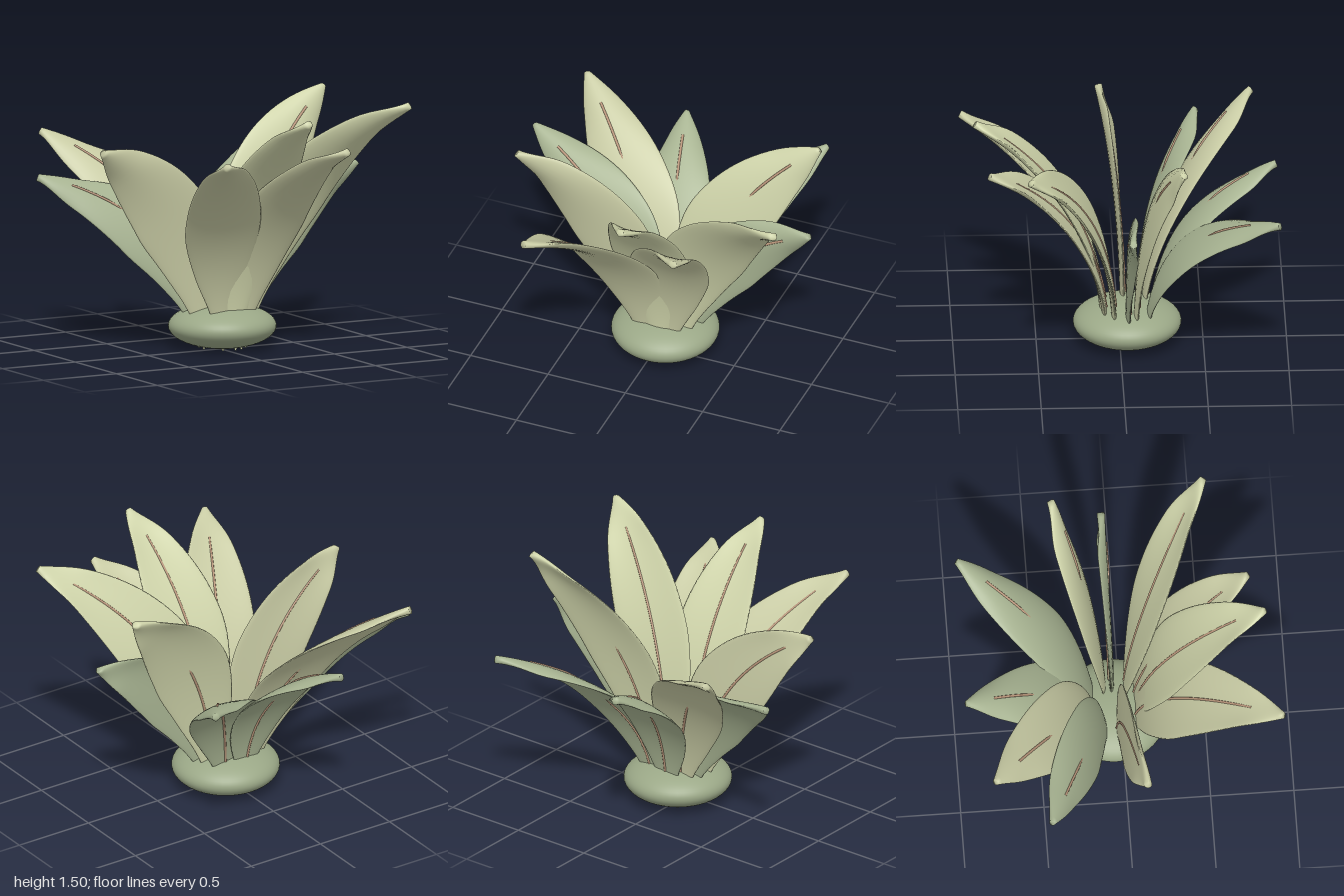
import * as THREE from 'three';

const mat = (name, color) => Object.assign(new THREE.MeshStandardMaterial({ color }), { name });
const CENTRE = new THREE.Vector3(0.037, 0, -0.045);
const ROWS = 36, SIDES = 24;

// Half width of a leaf along its length: x is the position, y the half width
const outline = new THREE.SplineCurve([
  [0, 0.006], [0.13, 0.08], [0.3, 0.185], [0.48, 0.245], [0.62, 0.235],
  [0.76, 0.19], [0.9, 0.11], [1, 0.02],
].map(([x, y]) => new THREE.Vector2(x, y)));

// Leaf spine: rises straight from the root ring, then arches out to the tip
function makeSpine(tip, arch) {
  const dir = new THREE.Vector3(tip.x - CENTRE.x, 0, tip.z - CENTRE.z).normalize();
  const root = CENTRE.clone().addScaledVector(dir, 0.14).setY(0.006);
  return new THREE.QuadraticBezierCurve3(
    root, new THREE.Vector3(root.x, tip.y * arch, root.z), tip);
}

// Point, blade width direction (sideways, slightly sheared along the spine) and blade normal at t
function frameAt(spine, t) {
  const tan = spine.getTangent(t);
  const wide = new THREE.Vector3(1, 0, 0).addScaledVector(tan, -tan.x).normalize();
  const normal = new THREE.Vector3().crossVectors(tan, wide).normalize();
  wide.addScaledVector(tan, 0.25 * tan.x);
  return { point: spine.getPoint(t), wide, normal };
}

// Cupped blade: thin oval cross-sections swept along the spine
function leafGeometry(spine, widthScale) {
  const pos = [], index = [];
  for (let i = 0; i <= ROWS; i++) {
    const p = outline.getPoint(i / ROWS);
    const t = Math.min(1, Math.max(0, p.x)), h = p.y * widthScale;
    const cup = (0.025 * t + 0.02 * t * t) * (1 - THREE.MathUtils.smoothstep(t, 0.85, 1));
    const thick = Math.min(0.016, 0.005 + 0.15 * t) + 0.008 * t ** 6;
    const { point, wide, normal } = frameAt(spine, t);
    for (let j = 0; j < SIDES; j++) {
      const a = (j / SIDES) * Math.PI * 2, u = Math.cos(a);
      const v = point.clone()
        .addScaledVector(wide, h * u)
        .addScaledVector(normal, cup * u * u + thick * Math.sin(a));
      pos.push(v.x, v.y, v.z);
    }
  }
  for (let i = 0; i < ROWS; i++) {
    for (let j = 0; j < SIDES; j++) {
      const k = (j + 1) % SIDES;
      const a = i * SIDES + j, b = i * SIDES + k;
      index.push(a, b, a + SIDES, b, b + SIDES, a + SIDES);
    }
  }
  // end caps
  const last = ROWS * SIDES;
  for (let j = 1; j < SIDES - 1; j++) {
    index.push(0, j + 1, j, last, last + j, last + j + 1);
  }
  const geo = new THREE.BufferGeometry();
  geo.setAttribute('position', new THREE.Float32BufferAttribute(pos, 3));
  geo.setIndex(index);
  geo.computeVertexNormals();
  return geo;
}

// Midrib: a slim tube on the blade; on rear leaves it passes through to the upper face
function ribGeometry(spine, rear) {
  const points = [];
  for (let i = 0; i <= 16; i++) {
    const t = 0.15 + 0.74 * (i / 16);
    const { point, normal } = frameAt(spine, t);
    const offset = rear ? THREE.MathUtils.clamp((0.62 - t) * 0.14, -0.018, 0.015) : 0.015;
    points.push(point.addScaledVector(normal, offset));
  }
  return new THREE.TubeGeometry(new THREE.CatmullRomCurve3(points), 32, 0.008, 8);
}

export function createModel() {
  const group = new THREE.Group();
  const baseMat = mat('base green', 0x9ba887);
  const ribMat = mat('rib brown', 0xb8957a);

  // Squashed round base
  const base = new THREE.Mesh(new THREE.SphereGeometry(0.325, 48, 32), baseMat);
  base.name = 'base';
  base.scale.y = 0.134 / 0.325;
  base.position.set(CENTRE.x, 0.139, CENTRE.z);
  group.add(base);

  // Three rings of leaves: tip height, arch, width and the tips in plan (x, z)
  const rings = [
    { name: 'inner', y: 1.48, arch: 0.67, width: 1, material: mat('inner leaf green', 0xcfd4aa),
      tips: [[0.12, 0.87], [0.985, 0.56], [0.905, -0.36]] },
    { name: 'middle', y: 1.275, arch: 0.69, width: 1, material: mat('middle leaf green', 0xc8cba4),
      tips: [[-0.48, 0.94], [0.43, 0.79], [-0.865, 0.1], [-0.78, -0.81]] },
    { name: 'outer', y: 1.055, arch: 0.76, width: 0.9, material: mat('outer leaf green', 0xa8b492),
      tips: [[-0.19, -0.945], [0.72, -0.94], [-0.985, -0.485], [0.965, -0.055]] },
  ];
  for (const ring of rings) {
    ring.tips.forEach(([x, z], i) => {
      const spine = makeSpine(new THREE.Vector3(x, ring.y, z), ring.arch);
      const leaf = new THREE.Group();
      leaf.name = `${ring.name}Leaf${i + 1}`;
      const blade = new THREE.Mesh(leafGeometry(spine, ring.width), ring.material);
      blade.name = 'blade';
      const rib = new THREE.Mesh(ribGeometry(spine, z < 0), ribMat);
      rib.name = 'midrib';
      leaf.add(blade, rib);
      group.add(leaf);
    });
  }
  return group;
}
